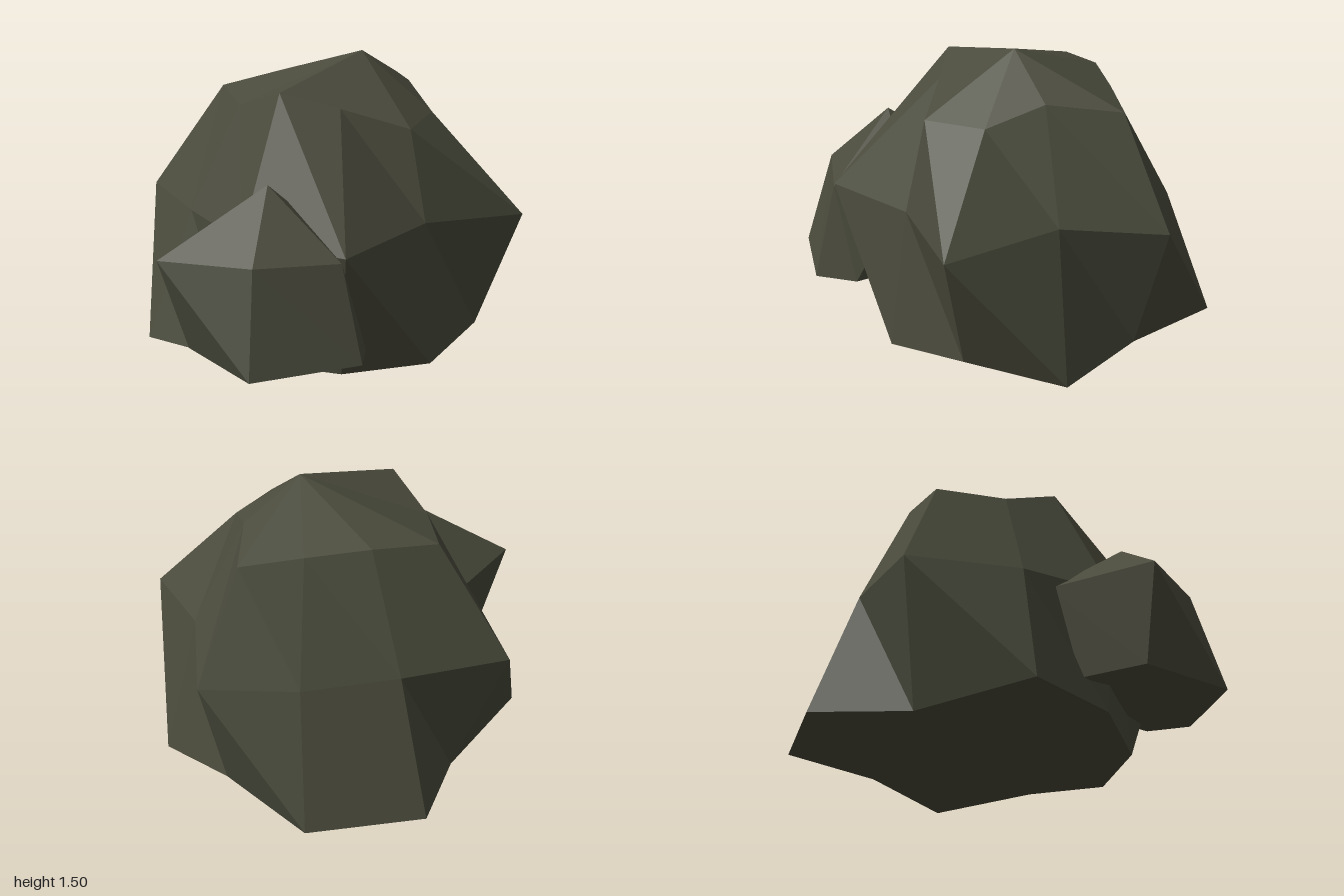
import * as THREE from 'three';

// Closes a stack of rings (top to bottom, each running from +x through +z) with a tip and a base point.
function rockGeometry(tip, rings, base) {
  const positions = [];
  const tri = (...corners) => corners.forEach((p) => positions.push(...p));
  const n = rings[0].length;
  const last = rings[rings.length - 1];
  for (let i = 0; i < n; i++) {
    const j = (i + 1) % n;
    tri(tip, rings[0][j], rings[0][i]);
    for (let r = 0; r < rings.length - 1; r++) {
      const up = rings[r], down = rings[r + 1];
      tri(up[i], up[j], down[i]);
      tri(up[j], down[j], down[i]);
    }
    tri(base, last[i], last[j]);
  }
  const geometry = new THREE.BufferGeometry();
  geometry.setAttribute('position', new THREE.Float32BufferAttribute(positions, 3));
  geometry.computeVertexNormals();
  return geometry;
}

export function createModel() {
  const group = new THREE.Group();
  group.name = 'boulders';
  const stone = new THREE.MeshStandardMaterial({ color: 0x4a4b3c });
  stone.name = 'darkOliveStone';
  stone.flatShading = true;

  const add = (name, geometry) => {
    const mesh = new THREE.Mesh(geometry, stone);
    mesh.name = name;
    group.add(mesh);
  };

  // Large boulder: crown, shoulder and foot rings
  add('largeBoulder', rockGeometry([0.25, 1.5, 0.02], [
    [[0.55, 1.3, -0.06], [0.55, 1.2, 0.24], [0.32, 1.19, 0.49], [0, 1.29, 0.35], [-0.28, 1.37, 0.24],
      [-0.39, 1.25, -0.06], [-0.36, 1.27, -0.42], [-0.01, 1.31, -0.48], [0.32, 1.29, -0.46], [0.64, 1.26, -0.43]],
    [[0.82, 0.76, -0.06], [0.94, 0.69, 0.53], [0.36, 0.73, 0.6], [-0.18, 0.7, 0.88], [-0.56, 0.7, 0.45],
      [-0.66, 0.72, -0.05], [-0.68, 0.7, -0.65], [-0.1, 0.73, -0.75], [0.4, 0.72, -0.75], [0.88, 0.7, -0.6]],
    [[1, 0, -0.06], [0.75, 0.07, 0.4], [0.36, 0.01, 0.69], [-0.12, 0.02, 0.68], [-0.57, 0.05, 0.4],
      [-0.9, 0.05, -0.06], [-0.43, 0.01, -0.53], [-0.18, 0.05, -1], [0.43, 0.05, -0.99], [0.74, 0.07, -0.48]],
  ], [0, 0.03, 0]));

  // Small boulder leaning against the front right
  add('smallBoulder', rockGeometry([-0.45, 1, 0.54], [
    [[-0.1, 0.68, 0.5], [-0.2, 0.68, 0.88], [-0.63, 0.69, 0.83], [-1, 0.67, 0.5], [-0.6, 0.66, 0.1], [-0.3, 0.68, 0.15]],
    [[-0.04, 0.19, 0.8], [-0.14, 0.2, 1], [-0.7, 0.18, 0.97], [-0.85, 0.2, 0.5], [-0.6, 0.2, 0.25], [-0.2, 0.2, 0.3]],
  ], [-0.45, 0.18, 0.6]));

  return group;
}
